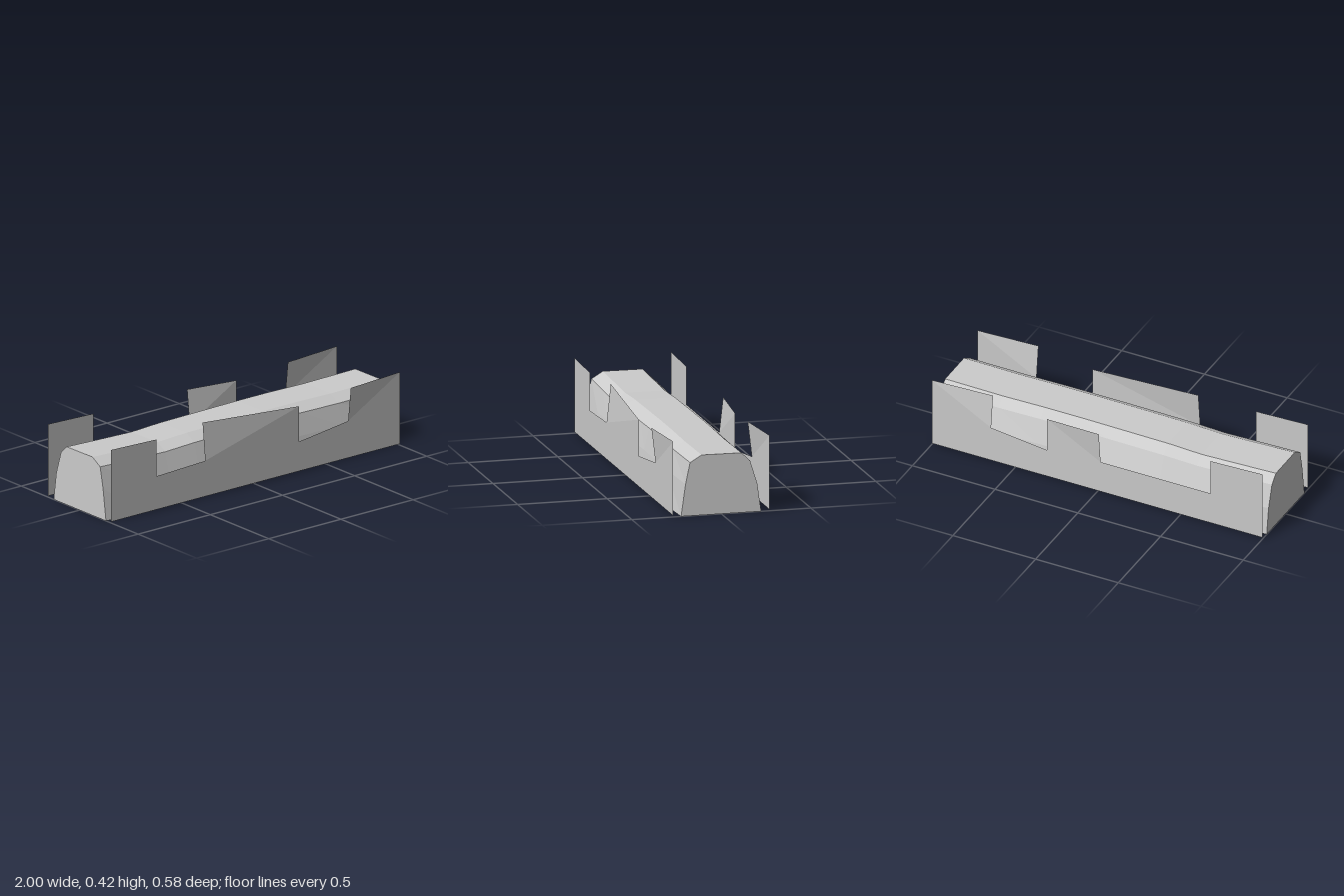
import * as THREE from 'three';

const material = new THREE.MeshStandardMaterial({
  color: 0xcccccc, flatShading: true, side: THREE.DoubleSide,
});

function meshFrom(name, points, faces) {
  const geometry = new THREE.BufferGeometry();
  geometry.setAttribute('position', new THREE.Float32BufferAttribute(points.flat(), 3));
  geometry.setIndex(faces.flat());
  const flat = geometry.toNonIndexed();
  flat.computeVertexNormals();
  const mesh = new THREE.Mesh(flat, material);
  mesh.name = name;
  return mesh;
}

// Long hollow mound: one cross-section swept along x with a slight wobble, open below
function createMound() {
  const profile = [
    [0.225, 0.003], [0.2, 0.18], [0.175, 0.298], [0.11, 0.336],
    [-0.112, 0.334], [-0.16, 0.288], [-0.2, 0.16], [-0.222, 0.003],
  ];
  // x, front bulge, back bulge, top drop
  const stations = [
    [-1, 0, 0, 0], [-0.75, 0.02, 0.022, 0.009], [-0.55, 0.021, 0.022, 0.015],
    [-0.35, 0.021, 0.034, 0.006], [0, 0.019, 0.032, 0.002], [0.18, 0.01, 0.016, 0],
    [0.4, 0.015, 0.022, 0], [0.65, 0.018, 0.028, 0.004], [1, 0, 0, 0],
  ];
  const n = profile.length;
  const points = [], faces = [];
  stations.forEach(([x, front, back, drop], s) => {
    for (const [z, y] of profile) {
      const low = 1 - y / 0.336;
      points.push([x, y - drop * (1 - low), z + (z > 0 ? front : -back) * low]);
    }
    if (s === 0) return;
    for (let i = 0; i < n - 1; i++) {
      const a = (s - 1) * n + i, b = s * n + i;
      faces.push([a, b, a + 1], [b, b + 1, a + 1]);
    }
  });
  // End caps
  const last = (stations.length - 1) * n;
  for (let i = 1; i < n - 1; i++) {
    faces.push([0, i, i + 1], [last, last + i + 1, last + i]);
  }
  return meshFrom('mound', points, faces);
}

// Thin wall: a continuous lower strip with raised, slightly twisted panels
function createWall(name, z, sill, panels) {
  const points = [], faces = [];
  sill.forEach(([x, y], i) => {
    points.push([x, 0.01, z], [x, y, z]);
    if (i > 0) {
      const a = 2 * i - 2;
      faces.push([a, a + 2, a + 1], [a + 2, a + 3, a + 1]);
    }
  });
  // Each panel: sill indices under it, heights of its top corners, lean of its left corner
  for (const { base, tops, lean } of panels) {
    const first = sill[base[0]], end = sill[base[base.length - 1]];
    const k = points.length;
    points.push([first[0], tops[0], z + lean], [end[0], tops[1], z]);
    for (let i = 0; i < base.length - 1; i++) {
      faces.push([base[i] * 2 + 1, base[i + 1] * 2 + 1, k + 1]);
    }
    faces.push([base[0] * 2 + 1, k + 1, k]);
  }
  return meshFrom(name, points, faces);
}

export function createModel() {
  const model = new THREE.Group();
  model.name = 'walledMound';
  const sill = [
    [-1, 0.2], [-0.685, 0.2], [-0.348, 0.213], [-0.02, 0.2],
    [0.303, 0.178], [0.642, 0.22], [1, 0.22],
  ];
  const endPanel = { base: [0, 1], tops: [0.42, 0.41], lean: 0 };
  model.add(
    createMound(),
    createWall('frontWall', 0.269, sill, [
      endPanel,
      { base: [2, 3, 4], tops: [0.425, 0.38], lean: -0.023 },
      { base: [5, 6], tops: [0.415, 0.42], lean: 0.023 },
    ]),
    createWall('backWall', -0.269, sill.filter((_, i) => i !== 2), [
      endPanel,
      { base: [2, 3], tops: [0.394, 0.38], lean: -0.022 },
      { base: [4, 5], tops: [0.415, 0.42], lean: 0.023 },
    ]),
  );
  return model;
}
